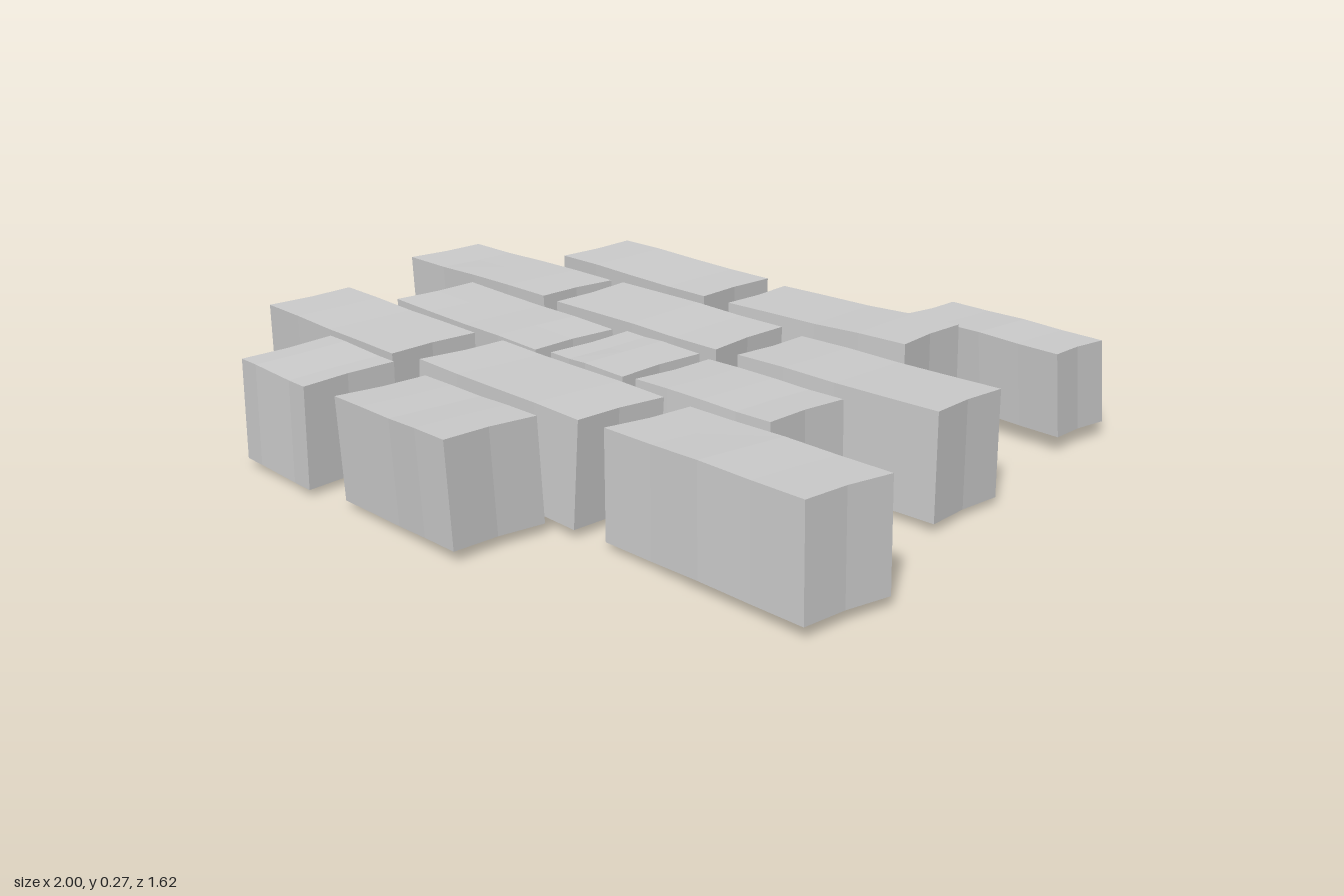
import * as THREE from 'three';

// Rows from back to front. Each brick: centre x, length, slope (z rise to the right),
// skew (x shift to the front), tilt (height rise to the right),
// and how far its base sticks out past its top in x and in z
const ROWS = [
  { z: -0.71, depth: 0.195, base: 0.04, top: 0.243, bricks: [
    [0.5, 0.463, 0.012, 0, -0.002, 0.012, -0.01]] },
  { z: -0.463, depth: 0.242, base: 0.008, top: 0.262, bricks: [
    [-0.437, 0.568, 0.008, -0.005, -0.004, -0.01, -0.01],
    [0.196, 0.562, -0.022, 0.023, 0.007, 0.014, 0.01]] },
  { z: -0.148, depth: 0.24, base: 0.018, top: 0.262, bricks: [
    [-0.71, 0.575, 0, 0, 0.002, 0.008, -0.008],
    [-0.095, 0.565, -0.005, 0.01, -0.003, -0.006, -0.006],
    [0.541, 0.573, -0.012, 0.012, 0.002, 0.01, 0.01]] },
  { z: 0.142, depth: 0.241, base: 0.02, top: 0.26, bricks: [
    [-0.378, 0.57, 0.015, -0.005, -0.005, 0.006, -0.006],
    [0.071, 0.258, 0.01, 0, 0.003, 0.004, 0.004],
    [0.43, 0.407, -0.013, 0.005, -0.003, 0.018, 0.01]] },
  { z: 0.407, depth: 0.238, base: 0.02, top: 0.262, bricks: [
    [-0.562, 0.565, 0.022, -0.01, 0.002, -0.008, -0.008],
    [0.079, 0.567, 0.013, -0.012, 0, -0.008, 0.008],
    [0.701, 0.578, 0.02, -0.018, 0.014, 0.016, 0.012]] },
  { z: 0.68, depth: 0.242, base: 0.02, top: 0.258, bricks: [
    [-0.369, 0.263, 0.003, 0, -0.004, 0.004, 0.004],
    [0.068, 0.41, 0.012, -0.005, 0.01, 0.01, -0.008]] },
];

// Shift that keeps the top and base of a leaning brick inside its outline
const leanShift = (amount, side, height) =>
  amount * (0.5 - height - Math.sign(amount) * side - 0.5 * Math.sign(amount) + (amount > 0 ? 0.5 : -0.5));

// A subdivided box bent into a slightly uneven, hand-cut brick
function brickGeometry(row, [x, length, slope, skew, tilt, leanX, leanZ], seed) {
  const geometry = new THREE.BoxGeometry(1, 1, 1, 4, 2, 2);
  const pos = geometry.attributes.position;
  for (let i = 0; i < pos.count; i++) {
    const u = pos.getX(i), w = pos.getZ(i), v = pos.getY(i) + 0.5;
    const bow = -0.014 * u * Math.cos(Math.PI * w); // hollow ends
    const wave = 0.004 * Math.sin(u * Math.PI * 2 + seed * 1.7) * Math.cos(Math.PI * u);
    const height = THREE.MathUtils.lerp(row.base, row.top, v)
      + tilt * u + 0.006 * Math.sin(seed * 2.3) * w + wave;
    pos.setXYZ(i,
      x + length * u + skew * w + bow + leanShift(leanX, u, v - 0.5),
      Math.max(0, height),
      row.z + row.depth * w + slope * u + wave + leanShift(leanZ, w, v - 0.5));
  }
  geometry.computeVertexNormals();
  return geometry;
}

export function createModel() {
  const group = new THREE.Group();
  group.name = 'brickPaving';
  const stone = new THREE.MeshStandardMaterial({ color: 0xcccccc, flatShading: true });
  for (const row of ROWS) {
    for (const brick of row.bricks) {
      const number = group.children.length + 1;
      const mesh = new THREE.Mesh(brickGeometry(row, brick, number), stone);
      mesh.name = `brick${number}`;
      group.add(mesh);
    }
  }
  return group;
}
